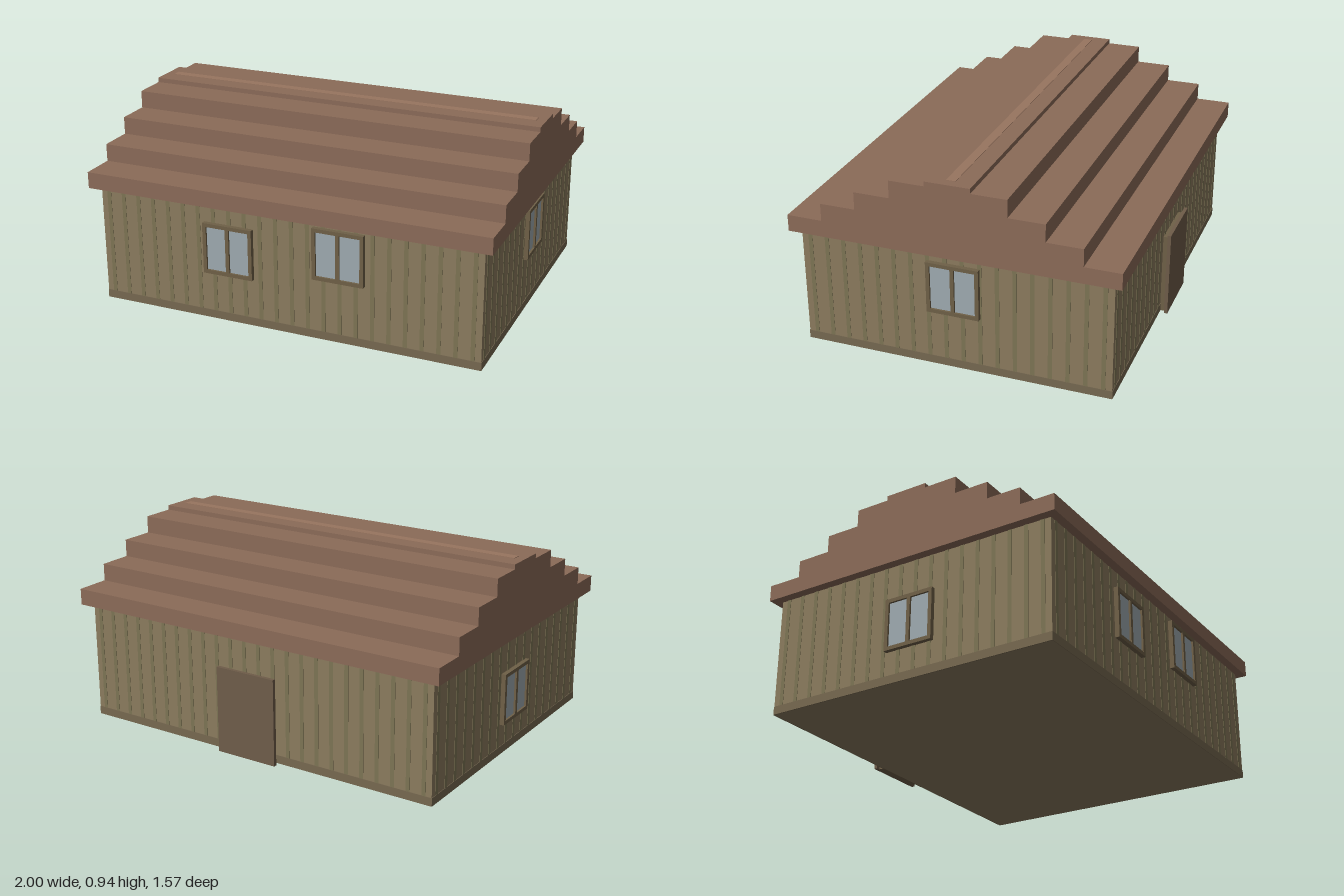
import * as THREE from 'three';

const paint = (color, opts = {}) => new THREE.MeshStandardMaterial({ color, ...opts });
const M = {
  wall: paint(0x8b7b5e), batten: paint(0x7d7454), base: paint(0x766850),
  roof: paint(0x8b6b58), ridge: paint(0x98755f),
  frame: paint(0x6f6047), glass: paint(0x9eaab0), door: paint(0x6e5c49),
};

const HX = 0.955, HZ = 0.743, WALL_H = 0.58;

function box(name, mat, w, h, d, x, y, z) {
  const m = new THREE.Mesh(new THREE.BoxGeometry(w, h, d), mat);
  m.name = name;
  m.position.set(x, y, z);
  return m;
}

function rectangle(T, x0, y0, x1, y1) {
  const r = new T();
  r.moveTo(x0, y0);
  r.lineTo(x1, y0);
  r.lineTo(x1, y1);
  r.lineTo(x0, y1);
  r.closePath();
  return r;
}

// Square two-pane window; its back lies on z = 0 and it faces +z
function makeWindow(name) {
  const g = new THREE.Group();
  g.name = name;
  const h = 0.126, i = 0.108, c = 0.009;
  const shape = rectangle(THREE.Shape, -h, -h, h, h);
  shape.holes.push(rectangle(THREE.Path, -i, -i, -c, i), rectangle(THREE.Path, c, -i, i, i));
  const frame = new THREE.Mesh(
    new THREE.ExtrudeGeometry(shape, { depth: 0.022, bevelEnabled: false }), M.frame);
  frame.name = 'windowFrame';
  g.add(frame, box('windowGlass', M.glass, i * 2, i * 2, 0.012, 0, 0, 0.006));
  return g;
}

// One wall face: vertical battens, skirting and windows, facing +z before turning
function makeWallFace(name, halfWidth, distance, angle, count, windows) {
  const g = new THREE.Group();
  g.name = name;
  const pitch = (halfWidth * 2) / count;
  for (let k = 0; k < count; k++) {
    const x = -halfWidth + (k + 0.5) * pitch;
    g.add(box('batten', M.batten, 0.02, WALL_H - 0.04, 0.004, x, (WALL_H + 0.04) / 2, distance));
  }
  g.add(box('skirting', M.base, halfWidth * 2, 0.04, 0.005, 0, 0.02, distance));
  for (const [x, y] of windows) {
    const w = makeWindow('window');
    w.position.set(x, y, distance);
    g.add(w);
  }
  g.rotation.y = angle;
  return g;
}

// Stepped gable roof: mirrored stair profile swept along x
function makeRoof() {
  const tiers = [[0.786, 0.66], [0.615, 0.745], [0.446, 0.83], [0.275, 0.915], [0.107, 0.938]];
  const half = [];
  let y = WALL_H;
  for (const [z, top] of tiers) {
    half.push([z, y], [z, top]);
    y = top;
  }
  const mirrored = half.map(([z, h]) => [-z, h]).reverse();
  const shape = new THREE.Shape([...half, ...mirrored].map(([z, h]) => new THREE.Vector2(z, h)));
  const geo = new THREE.ExtrudeGeometry(shape, { depth: 2, bevelEnabled: false });
  geo.translate(0, 0, -1);
  geo.rotateY(Math.PI / 2);
  const roof = new THREE.Mesh(geo, M.roof);
  roof.name = 'steppedRoof';
  return roof;
}

export function createModel() {
  const house = new THREE.Group();
  house.name = 'cabin';

  house.add(box('walls', M.wall, HX * 2, WALL_H, HZ * 2, 0, WALL_H / 2, 0));
  house.add(
    makeWallFace('frontWall', HX, HZ, 0, 24, [[-0.28, 0.364], [0.275, 0.43]]),
    makeWallFace('backWall', HX, HZ, Math.PI, 24, []),
    makeWallFace('leftWall', HZ, HX, Math.PI / 2, 18, [[0, 0.405]]),
    makeWallFace('rightWall', HZ, HX, -Math.PI / 2, 18, [[0.02, 0.28]]),
  );

  // Back door with a slightly larger outer panel
  const door = new THREE.Group();
  door.name = 'door';
  door.add(
    box('doorCore', M.frame, 0.28, 0.405, 0.028, 0.01, 0.2025, -HZ - 0.012),
    box('doorPanel', M.door, 0.32, 0.425, 0.017, 0.01, 0.2125, -HZ - 0.0335),
  );
  house.add(door);

  house.add(makeRoof());
  house.add(box('ridgeCap', M.ridge, 1.91, 0.01, 0.044, 0, 0.935, 0));
  return house;
}
